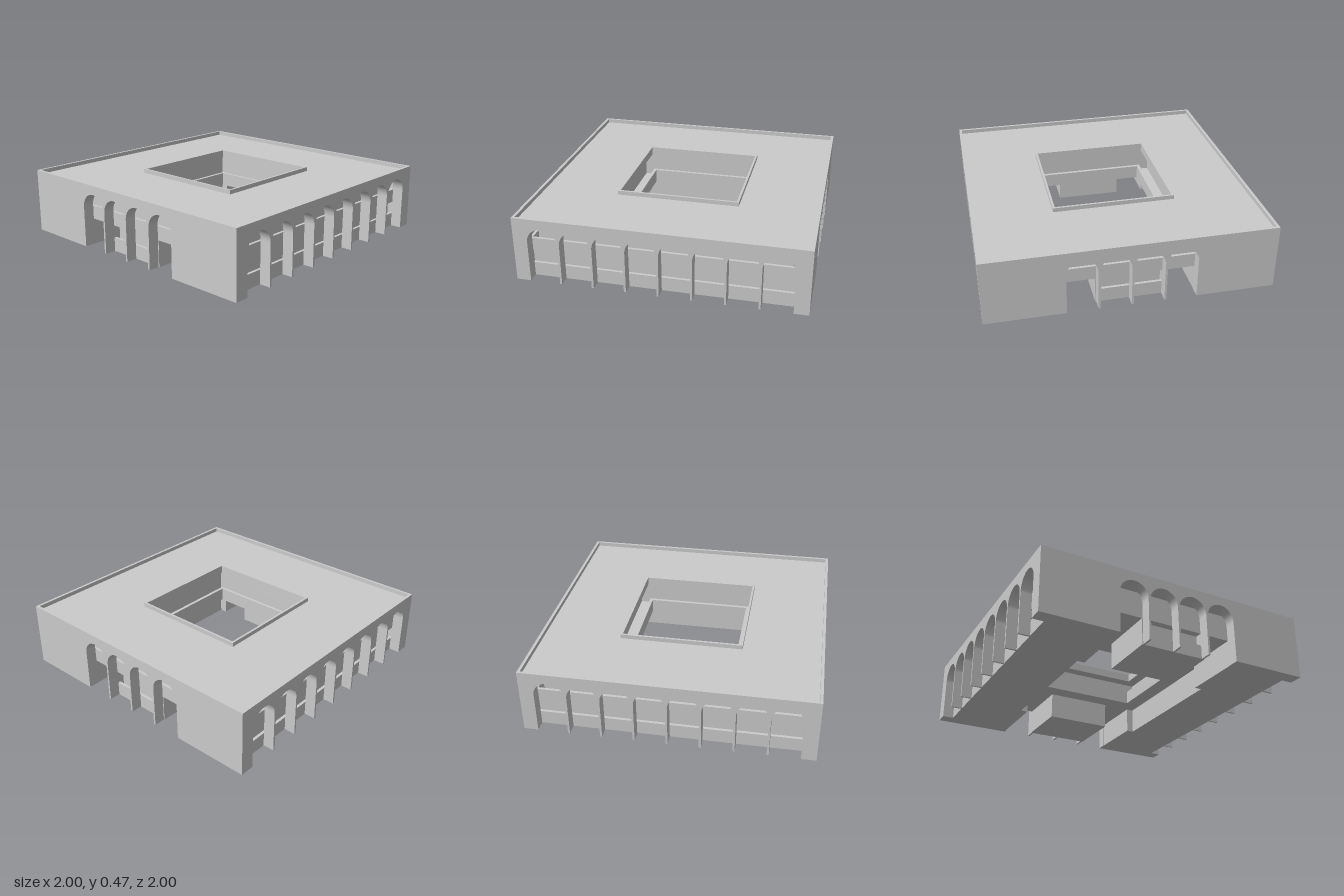
import * as THREE from 'three';

const material = new THREE.MeshStandardMaterial({ color: 0xcccccc, flatShading: true });
const DEPTH = 0.08;   // depth of the arcade walls
const PITCH = 0.2265; // arch spacing
const R = 0.106;      // arch radius
const SPRING = 0.298; // height where the arches start to curve
const FLOOR = 0.19, ROOF = 0.41, DECK = 0.44, TOP = 0.47;

export function createModel() {
  const model = new THREE.Group();
  model.name = 'courtyardBuilding';

  function add(name, geometry, parent = model) {
    const mesh = new THREE.Mesh(geometry, material);
    mesh.name = name;
    parent.add(mesh);
    return mesh;
  }

  // Box given by its limits
  function block(name, x0, x1, y0, y1, z0, z1) {
    const mesh = add(name, new THREE.BoxGeometry(x1 - x0, y1 - y0, z1 - z0));
    mesh.position.set((x0 + x1) / 2, (y0 + y1) / 2, (z0 + z1) / 2);
    return mesh;
  }

  // Square frame around the courtyard, given by its half widths
  function ring(name, outer, inner, y0, y1) {
    const square = (C, h) => new C([[-h, -h], [h, -h], [h, h], [-h, h]].map(p => new THREE.Vector2(...p)));
    const shape = square(THREE.Shape, outer);
    shape.holes.push(square(THREE.Path, inner));
    const geometry = new THREE.ExtrudeGeometry(shape, { depth: y1 - y0, bevelEnabled: false });
    geometry.rotateX(-Math.PI / 2).translate(0, y0, 0);
    return add(name, geometry);
  }

  // Wall with arches open to the ground, outer face at z = 1
  function arcadeWall(name, half, count, angle) {
    const shape = new THREE.Shape();
    shape.moveTo(-half, 0);
    for (let i = 0; i < count; i++) {
      const c = (i - (count - 1) / 2) * PITCH;
      shape.lineTo(c - R, 0);
      shape.lineTo(c - R, SPRING);
      shape.absarc(c, SPRING, R, Math.PI, 0, true);
      shape.lineTo(c + R, 0);
    }
    shape.lineTo(half, 0);
    shape.lineTo(half, ROOF);
    shape.lineTo(-half, ROOF);
    shape.closePath();
    const geometry = new THREE.ExtrudeGeometry(shape, { depth: DEPTH, bevelEnabled: false, curveSegments: 16 });
    geometry.translate(0, 0, 1 - DEPTH).rotateY(angle);
    add(name, geometry);
  }

  // Outer arcades: four arches front and back, eight on each side
  arcadeWall('frontArcade', 1 - DEPTH, 4, 0);
  arcadeWall('backArcade', 1 - DEPTH, 4, Math.PI);
  arcadeWall('leftArcade', 1, 8, Math.PI / 2);
  arcadeWall('rightArcade', 1, 8, -Math.PI / 2);

  // Roof with its outer and courtyard parapets
  ring('roofSlab', 1, 0.42, ROOF, DECK);
  ring('outerRoofParapet', 1, 0.98, DECK, TOP);
  ring('courtyardRoofParapet', 0.436, 0.42, DECK, TOP);

  // Upper storey: floor, set-back rooms and gallery balustrades
  ring('upperFloor', 0.92, 0.38, FLOOR, FLOOR + 0.01);
  ring('upperRooms', 0.87, 0.5, FLOOR + 0.01, ROOF);
  ring('outerBalustrade', 0.92, 0.9, FLOOR + 0.01, 0.29);
  ring('courtyardBalustrade', 0.404, 0.38, FLOOR + 0.01, 0.29);

  // Ground storey: side wings, with two passages left open front to back
  for (const s of [-1, 1]) {
    const side = s > 0 ? 'left' : 'right';
    const wing = (name, a, b, y0, y1, z0, z1) =>
      block(side + name, Math.min(s * a, s * b), Math.max(s * a, s * b), y0, y1, z0, z1);
    wing('WingRooms', 0.5, 0.87, 0.01, FLOOR, -0.92, 0.92);
    wing('WingFloor', 0.5, 0.92, 0, 0.01, -0.92, 0.92);
    wing('WingBalustrade', 0.9, 0.92, 0.01, 0.1, -0.92, 0.92);
    for (const e of [-1, 1]) {
      const z = [e * 0.5, e * 0.92].sort((a, b) => a - b);
      wing('PassageWall', 0.448, 0.5, 0, FLOOR, z[0], z[1]);
    }
  }

  // Ground storey: central rooms between the passages
  for (const e of [-1, 1]) {
    const end = e > 0 ? 'front' : 'back';
    const room = (name, x0, x1, y0, y1, a, b) =>
      block(end + name, x0, x1, y0, y1, Math.min(e * a, e * b), Math.max(e * a, e * b));
    room('CentralRooms', -0.24, 0.24, 0.01, FLOOR, 0.5, 0.87);
    room('CentralFloor', -0.24, 0.24, 0, 0.01, 0.5, 0.92);
    room('CentralBalustrade', -0.22, 0.22, 0.01, 0.1, 0.9, 0.92);
    for (const s of [-1, 1])
      room('CentralSideWall', s > 0 ? 0.22 : -0.24, s > 0 ? 0.24 : -0.22, 0.01, FLOOR, 0.87, 0.92);
  }

  return model;
}
